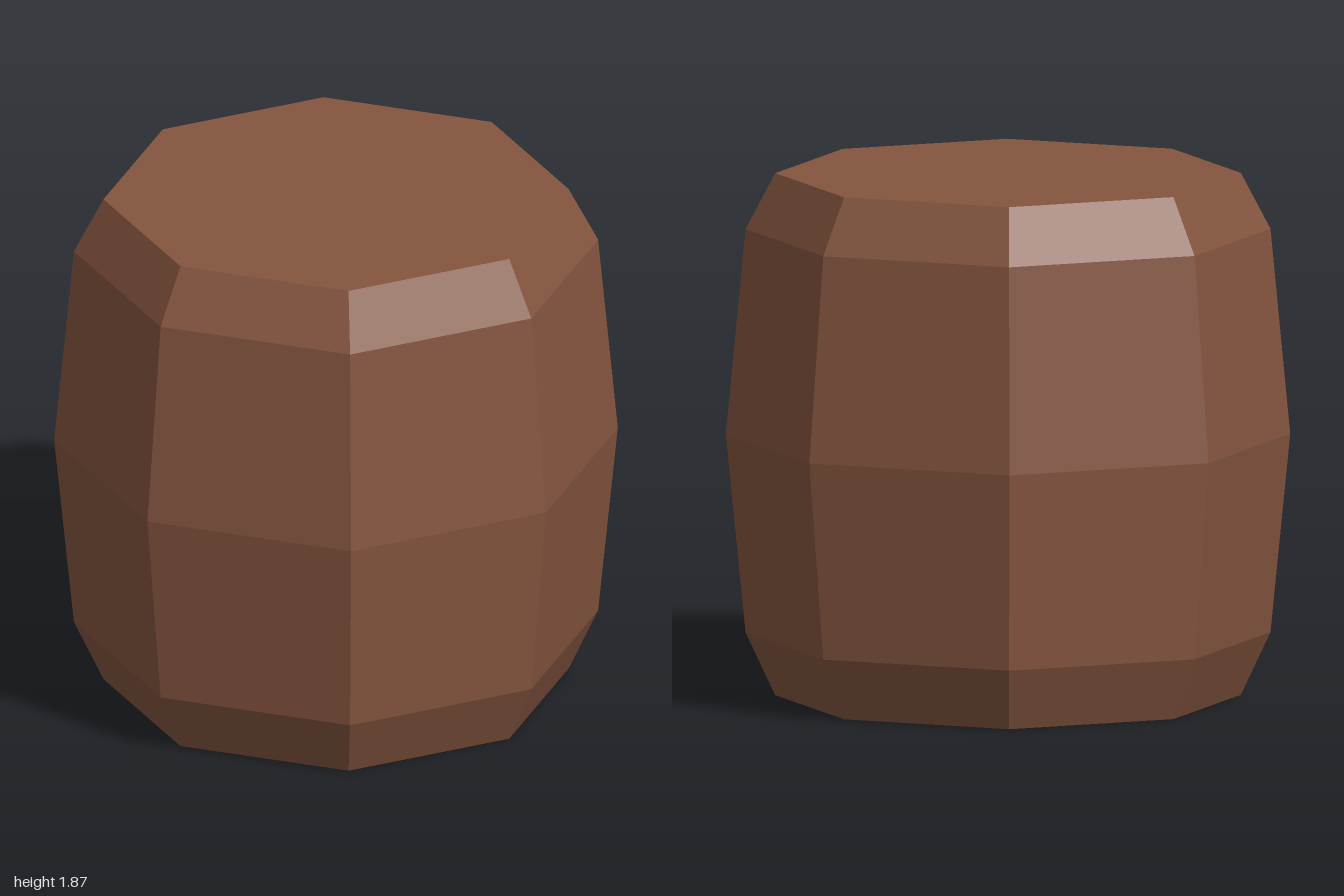
import * as THREE from 'three';

const SIDES = 8;
const HEIGHT = 1.87;
const END_RADIUS = 0.825;

// Give every facet its own flat normals
function faceted(geometry) {
  const flat = geometry.toNonIndexed();
  flat.computeVertexNormals();
  return flat;
}

export function createModel() {
  const barrel = new THREE.Group();
  barrel.name = 'barrel';

  const wood = new THREE.MeshStandardMaterial({ color: 0x85553f });
  wood.name = 'brown wood';

  // Bulging eight-sided wall with narrowed rims, profile from bottom to top
  const profile = [
    [END_RADIUS, 0],
    [0.93, 0.225],
    [1, 0.935],
    [0.93, 1.67],
    [END_RADIUS, HEIGHT],
  ].map(([r, y]) => new THREE.Vector2(r, y));
  const wall = new THREE.Mesh(faceted(new THREE.LatheGeometry(profile, SIDES)), wood);
  wall.name = 'wall';
  barrel.add(wall);

  // Flat octagonal ends
  for (const [name, y, tilt] of [['lid', HEIGHT, -Math.PI / 2], ['base', 0, Math.PI / 2]]) {
    const end = new THREE.Mesh(new THREE.CircleGeometry(END_RADIUS, SIDES), wood);
    end.name = name;
    end.rotation.x = tilt;
    end.position.y = y;
    barrel.add(end);
  }

  return barrel;
}
